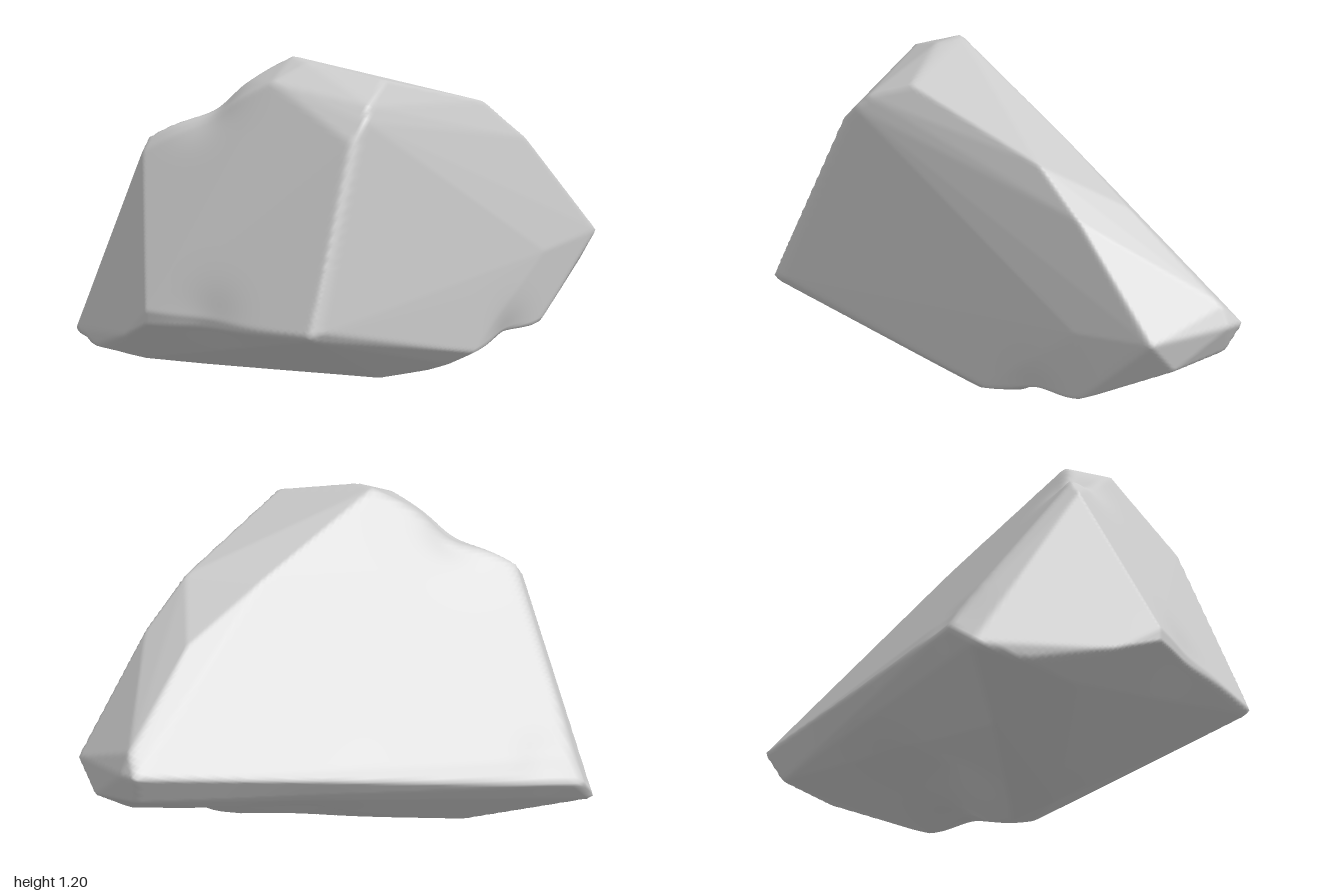
import * as THREE from 'three';
import { ConvexGeometry } from 'three/addons/geometries/ConvexGeometry.js';
import { mergeVertices } from 'three/addons/utils/BufferGeometryUtils.js';

// Corners of the boulder
const corners = [
  // crest and upper right edge
  [0.11, 1.2, 0.37], [0.21, 1.19, 0.38], [0.03, 1.11, 0.52], [0.2, 1.13, 0.53],
  [0.45, 1.14, 0.2], [0.55, 1.07, 0.34], [0.58, 1.02, 0.38], [0.58, 0.95, 0.45],
  [0.28, 0.98, -0.37],
  // left ridge of the crest and brow above the back slope
  [0.05, 0.98, -0.2], [0.02, 0.82, -0.57], [0.2, 0.89, -0.48], [0.25, 0.82, -0.58],
  // back tip
  [-0.13, 0.53, -0.96], [-0.2, 0.45, -0.99], [-0.13, 0.45, -1], [0.18, 0.43, -0.95],
  [-0.15, 0.34, -0.95], [0.08, 0.31, -0.95],
  // bulge of the right side
  [0.3, 0.4, -0.63], [0.43, 0.3, -0.21],
  // front shoulder and front ridge
  [-0.2, 0.9, 0.79], [-0.19, 0.85, 0.83], [0.06, 0.31, 1], [0.06, 0.26, 1],
  [-0.12, 0.19, 0.96], [-0.28, 0.15, 0.9], [-0.47, 0.09, 0.84],
  // right foot and lower right edge
  [0.7, 0.28, 0.66], [0.7, 0.27, 0.72], [0.69, 0.25, 0.7], [0.42, 0.08, -0.23],
  // left foot and left lower edge
  [-0.66, 0.12, 0.79], [-0.71, 0.2, 0.71], [-0.65, 0.29, 0.7], [-0.57, 0.36, 0.74],
  [-0.61, 0.23, 0.5], [-0.45, 0.28, -0.07], [-0.29, 0.38, -0.65],
  // underside
  [0.38, 0.04, -0.14], [0.27, 0, -0.13], [0.28, 0, 0.1], [-0.3, 0.01, 0.47],
  [-0.2, 0.08, 0.81], [-0.5, 0.08, 0.72], [0.28, 0.13, -0.62],
].map((p) => new THREE.Vector3(...p));

// Shallow hollows: centre, radius, depth
const hollows = [
  [new THREE.Vector3(-0.06, 1.04, 0.64), 0.12, 0.04],
  [new THREE.Vector3(0.26, 0.06, -0.43), 0.12, 0.06],
  [new THREE.Vector3(-0.02, 0.15, -0.2), 0.22, 0.06],
  [new THREE.Vector3(-0.63, 0.3, 0.6), 0.1, 0.015],
  [new THREE.Vector3(0.28, 0.27, 0.9), 0.13, 0.02],
];

// Outer planes of the solid spanned by the corners
function facetPlanes() {
  const pos = new ConvexGeometry(corners).attributes.position;
  const planes = [];
  for (let i = 0; i < pos.count; i += 3) {
    const [a, b, c] = [0, 1, 2].map((k) => new THREE.Vector3().fromBufferAttribute(pos, i + k));
    planes.push(new THREE.Plane().setFromCoplanarPoints(a, b, c));
  }
  return planes;
}

export function createModel() {
  const group = new THREE.Group();
  group.name = 'boulder';
  const planes = facetPlanes();
  const centre = new THREE.Vector3(0.05, 0.5, 0.1);

  // Fine sphere pulled onto the facets, so that edges come out softly rounded
  const sphere = new THREE.IcosahedronGeometry(1, 64);
  sphere.deleteAttribute('normal');
  sphere.deleteAttribute('uv');
  const geometry = mergeVertices(sphere, 1e-5);
  const pos = geometry.attributes.position;
  const dir = new THREE.Vector3();
  const point = new THREE.Vector3();
  for (let i = 0; i < pos.count; i++) {
    dir.fromBufferAttribute(pos, i);
    dir.set(dir.x * 0.6, dir.y * 0.6, dir.z).normalize();
    let reach = Infinity;
    for (const plane of planes) {
      const facing = plane.normal.dot(dir);
      if (facing > 1e-6) reach = Math.min(reach, -plane.distanceToPoint(centre) / facing);
    }
    point.copy(centre).addScaledVector(dir, reach);
    let sink = 0;
    for (const [at, radius, depth] of hollows) {
      sink += depth * Math.exp(-point.distanceToSquared(at) / (radius * radius));
    }
    point.addScaledVector(dir, -sink);
    pos.setXYZ(i, point.x, point.y, point.z);
  }
  geometry.computeVertexNormals();

  const rock = new THREE.Mesh(geometry, new THREE.MeshStandardMaterial({ color: 0xcccccc }));
  rock.name = 'rock';
  group.add(rock);
  return group;
}
